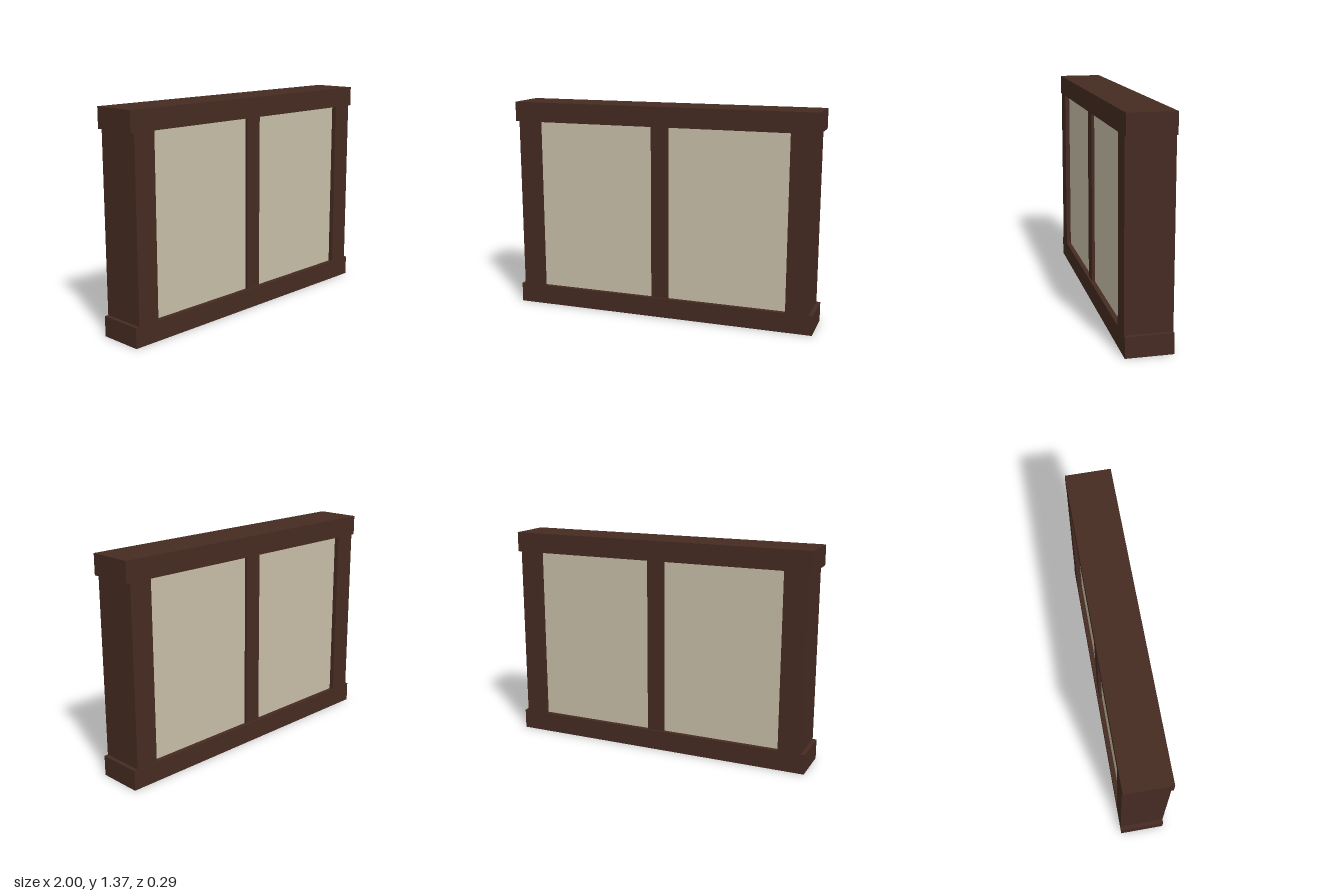
import * as THREE from 'three';

const darkWood = new THREE.MeshStandardMaterial({ color: 0x452b22 });
darkWood.name = 'dark wood';
const paper = new THREE.MeshStandardMaterial({ color: 0xc8bfa8 });
paper.name = 'cream paper';

const HEIGHT = 1.37;
const RAIL = 0.127;
const DEPTH = 0.286;

// Box spanning x0..x1 and y0..y1, centred in depth
function slab(name, x0, x1, y0, y1, depth, material) {
  const mesh = new THREE.Mesh(new THREE.BoxGeometry(x1 - x0, y1 - y0, depth), material);
  mesh.position.set((x0 + x1) / 2, (y0 + y1) / 2, 0);
  mesh.name = name;
  return mesh;
}

export function createModel() {
  const group = new THREE.Group();
  group.name = 'framedScreen';
  const low = RAIL, high = HEIGHT - RAIL;

  // Full-width rails, overhanging the posts slightly
  group.add(slab('bottomRail', -1, 1, 0, low, DEPTH, darkWood));
  group.add(slab('topRail', -1, 1, high, HEIGHT, DEPTH, darkWood));

  // Centre bar, set just behind the frame face
  group.add(slab('centreBar', -0.056, 0.056, low, high, DEPTH - 0.024, darkWood));

  // Side posts and recessed panels, mirrored
  for (const [side, s] of [['left', 1], ['right', -1]]) {
    const span = (a, b) => [Math.min(a * s, b * s), Math.max(a * s, b * s)];
    group.add(slab(side + 'Post', ...span(0.83, 0.975), low, high, DEPTH, darkWood));
    group.add(slab(side + 'Panel', ...span(0.056, 0.83), low, high, DEPTH - 0.06, paper));
  }
  return group;
}
